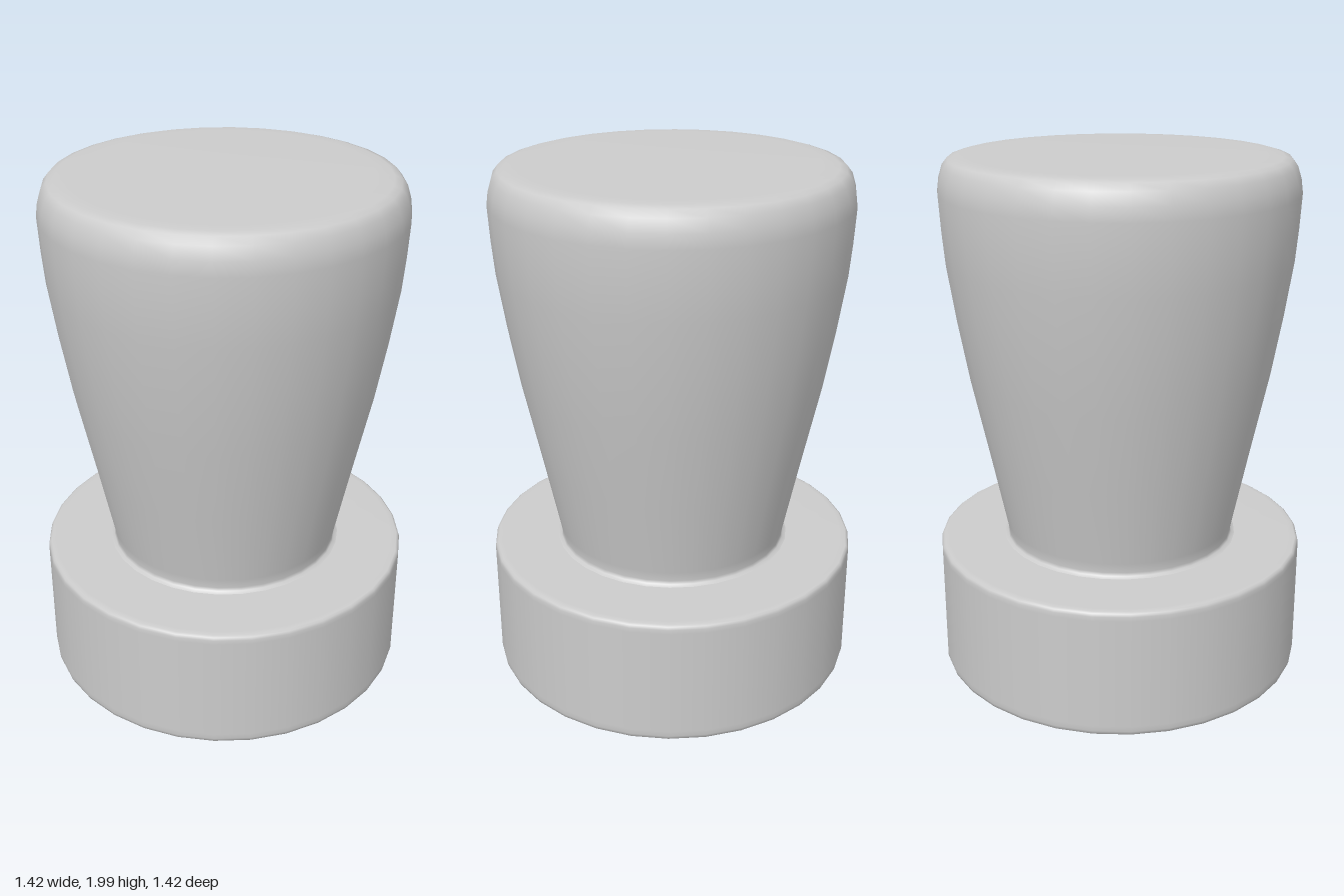
import * as THREE from 'three';

const SIDES = 32;

// Revolves a bottom-to-top [radius, height] profile around y
function turned(name, profile, material) {
  const points = profile.map(([r, y]) => new THREE.Vector2(r, y));
  const mesh = new THREE.Mesh(new THREE.LatheGeometry(points, SIDES), material);
  mesh.name = name;
  return mesh;
}

export function createModel() {
  const group = new THREE.Group();
  group.name = 'turnedKnob';
  const material = new THREE.MeshStandardMaterial({ color: 0xcccccc });

  // Short cylindrical foot with finely rounded rims
  group.add(turned('base', [
    [0, 0.01], [0.68, 0.01], [0.7, 0.012], [0.708, 0.016], [0.712, 0.03], [0.712, 0.05],
    [0.712, 0.48], [0.712, 0.497], [0.708, 0.508], [0.7, 0.513], [0.68, 0.514],
    [0.46, 0.514],
  ], material));

  // Flaring grip, filleted into the foot and rounded off to a flat top
  group.add(turned('handle', [
    [0.46, 0.514], [0.447, 0.52], [0.442, 0.532], [0.449, 0.57],
    [0.51, 0.87], [0.575, 1.18], [0.615, 1.41], [0.646, 1.62],
    [0.656, 1.74], [0.663, 1.87], [0.656, 1.92], [0.642, 1.965],
    [0.622, 1.99], [0.595, 1.998], [0.54, 2], [0, 2],
  ], material));

  return group;
}
